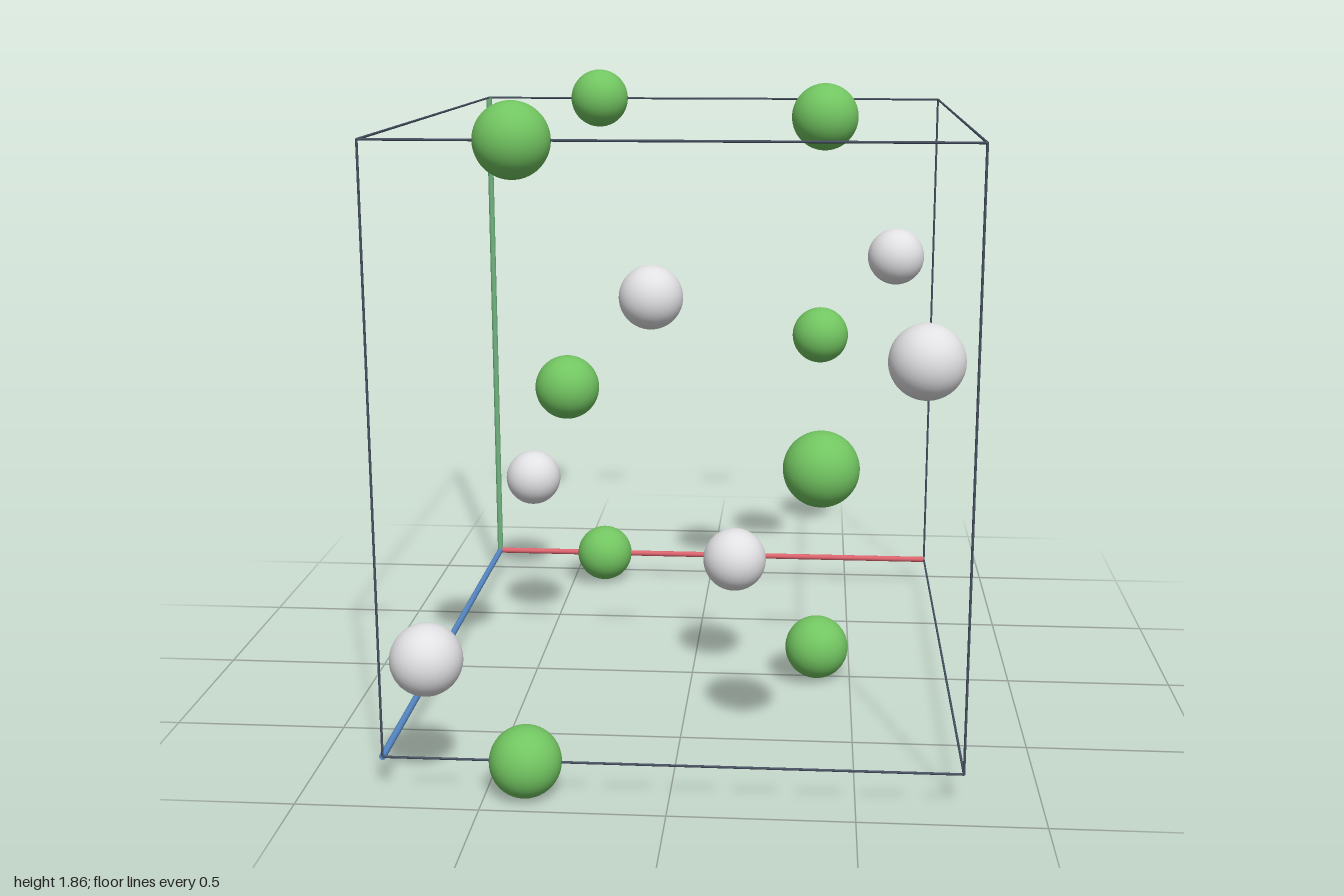
import * as THREE from 'three';

const R = 0.0985;                       // atom radius
const SX = 1.566, SY = 1.665, SZ = 1.803; // unit cell size
const X0 = 0.003;                       // the thick rods on one side push the cell off centre

function mat(name, color) {
  const m = new THREE.MeshStandardMaterial({ color });
  m.name = name;
  return m;
}

export function createModel() {
  const group = new THREE.Group();
  group.name = 'crystalCell';
  const green = mat('green', 0x72c561);
  const silver = mat('silver', 0xe1e1e4);
  const slate = mat('slate', 0x465060);
  const axisMats = [mat('axisRed', 0xdc646e), mat('axisGreen', 0x72b580), mat('axisBlue', 0x5688c6)];

  // Fractional cell coordinates to model space
  const place = (u, v, w) => new THREE.Vector3(X0 + (u - 0.5) * SX, R + v * SY, (w - 0.5) * SZ);

  // Atoms
  const ball = new THREE.SphereGeometry(R, 40, 28);
  const addAtom = (name, material, [u, v, w]) => {
    const mesh = new THREE.Mesh(ball, material);
    mesh.name = name;
    mesh.position.copy(place(u, v, w));
    group.add(mesh);
  };
  for (const w of [0, 0.5, 1]) {
    const mid = w === 0.5;
    // Green atoms alternate sides from layer to layer
    const u = mid ? 0.75 : 0.25;
    addAtom('greenAtom', green, [u, 0, w]);
    addAtom('greenAtom', green, [u, 1, w]);
    addAtom('greenAtom', green, [1 - u, 0.5, w]);
    // Silver atoms
    addAtom('silverAtom', silver, [mid ? 0.583 : 0.083, 0.171, w]);
    addAtom('silverAtom', silver, [mid ? 0.417 : 0.917, 0.671, w]);
  }

  // Cell edges: the three meeting at the origin corner are thicker, coloured axes
  const up = new THREE.Vector3(0, 1, 0);
  for (let axis = 0; axis < 3; axis++) {
    for (const a of [0, 1]) for (const b of [0, 1]) {
      const start = [0, 0, 0];
      start[(axis + 1) % 3] = a;
      start[(axis + 2) % 3] = b;
      const end = [...start];
      end[axis] = 1;
      const p = place(...start), q = place(...end);
      const isAxis = a + b === 0;
      const r = isAxis ? 0.0098 : 0.0034;
      const dir = q.clone().sub(p);
      const edge = new THREE.Mesh(
        new THREE.CylinderGeometry(r, r, dir.length(), 12),
        isAxis ? axisMats[axis] : slate
      );
      edge.name = isAxis ? 'axisRod' : 'cellEdge';
      edge.position.copy(p).add(q).multiplyScalar(0.5);
      edge.quaternion.setFromUnitVectors(up, dir.normalize());
      group.add(edge);
    }
  }
  return group;
}
